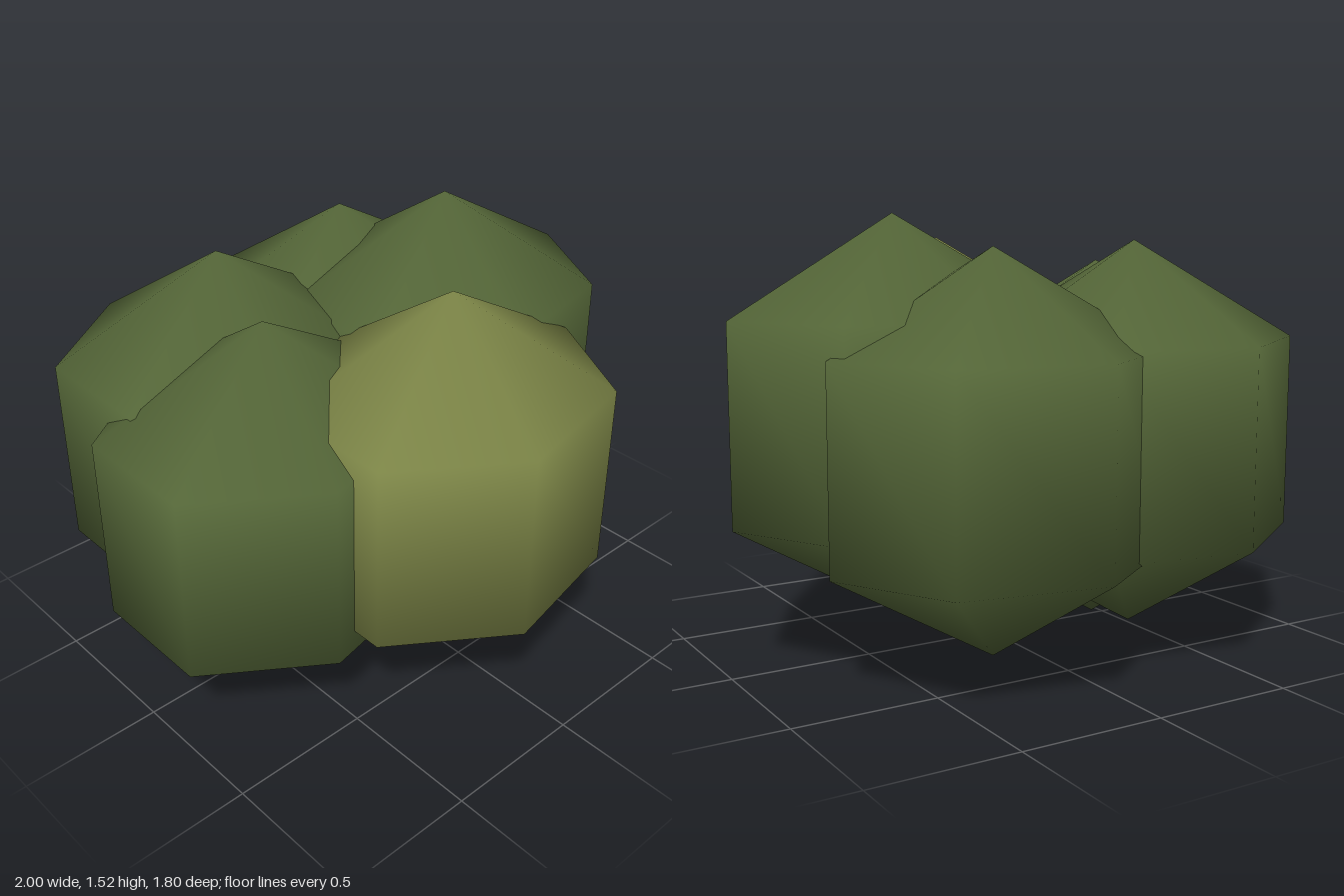
import * as THREE from 'three';

export function createModel() {
  const bush = new THREE.Group();
  bush.name = 'bush';

  const green = new THREE.MeshStandardMaterial({ color: 0x566839 });
  green.name = 'leaf green';
  const olive = new THREE.MeshStandardMaterial({ color: 0x7e8748 });
  olive.name = 'light olive';

  // One coarse seven-sided smooth ball, slightly flattened front to back
  const ball = new THREE.SphereGeometry(0.676, 7, 3);
  ball.rotateY(Math.PI);
  ball.scale(1, 1, 0.875);

  // Overlapping leaf clumps: name, material, centre
  const clumps = [
    ['frontClump', olive, [0.003, 0.757, 0.402]],
    ['leftClump', green, [0.413, 0.846, -0.044]],
    ['backLeftClump', green, [0.235, 0.741, -0.4]],
    ['backRightClump', green, [-0.363, 0.756, -0.347]],
    ['rightClump', green, [-0.473, 0.676, 0.033]],
  ];
  for (const [name, material, centre] of clumps) {
    const clump = new THREE.Mesh(ball, material);
    clump.name = name;
    clump.position.set(...centre);
    bush.add(clump);
  }
  return bush;
}
